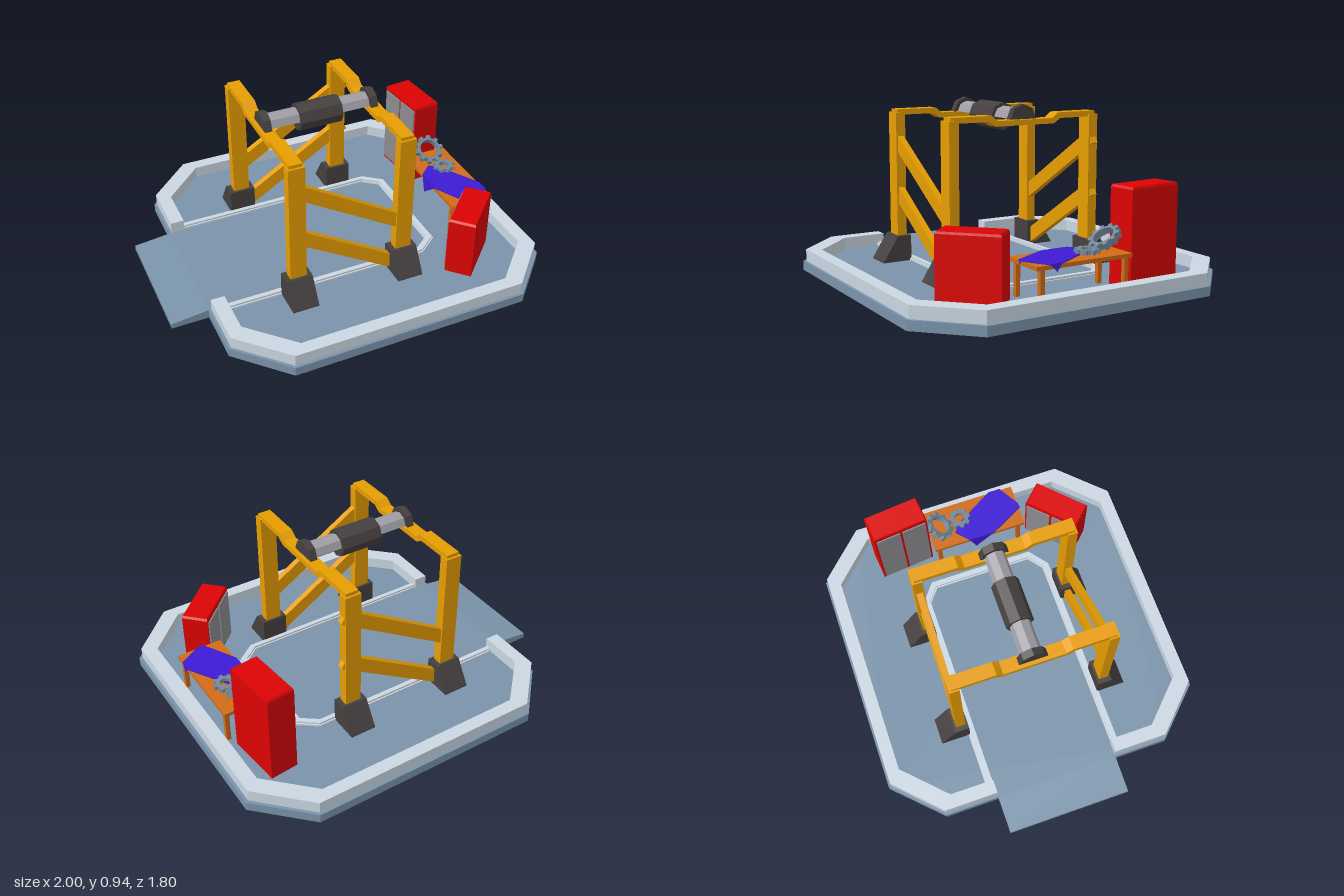
import * as THREE from 'three';

const mat = (name, color, side = THREE.FrontSide) => {
  const m = new THREE.MeshStandardMaterial({ color, side });
  m.name = name;
  return m;
};

export function createModel() {
  const M = {
    floor: mat('slate floor', 0x7a93aa),
    kerb: mat('pale concrete', 0xcbd7e2),
    frame: mat('yellow paint', 0xe79d02),
    dark: mat('dark iron', 0x464040),
    shaft: mat('shaft grey', 0xa19fa6),
    red: mat('red paint', 0xdc0303),
    door: mat('door grey', 0x8c8c90),
    wood: mat('orange wood', 0xd06c16),
    cloth: mat('blue cloth', 0x3d1ad4, THREE.DoubleSide),
    gear: mat('gear steel', 0x72889a),
  };
  const root = new THREE.Group();
  root.name = 'workshopBay';

  const add = (name, geo, material, parent = root, pos = [0, 0, 0]) => {
    const m = new THREE.Mesh(geo, material);
    m.name = name;
    m.position.set(...pos);
    parent.add(m);
    return m;
  };
  const box = (name, w, h, d, material, pos, parent) =>
    add(name, new THREE.BoxGeometry(w, h, d), material, parent, pos);
  const shapeOf = (pts) => new THREE.Shape(pts.map((p) => new THREE.Vector2(...p)));
  // plan outline of [x, z] points, raised from y0 to y1
  const plan = (pts, y0, y1) =>
    new THREE.ExtrudeGeometry(shapeOf(pts.map(([x, z]) => [x, -z])), { depth: y1 - y0, bevelEnabled: false })
      .rotateX(-Math.PI / 2).translate(0, y0, 0);
  // side outline of [z, y] points, swept from x0 to x1
  const sweep = (pts, x0, x1) =>
    new THREE.ExtrudeGeometry(shapeOf(pts.map(([z, y]) => [-z, y])), { depth: x1 - x0, bevelEnabled: false })
      .rotateY(Math.PI / 2).translate(x0, 0, 0);
  // front outline of [x, y] points, swept from z0 to z1
  const slab = (pts, z0, z1) =>
    new THREE.ExtrudeGeometry(shapeOf(pts), { depth: z1 - z0, bevelEnabled: false }).translate(0, 0, z0);
  // adds the z-mirrored half of a path in reverse order
  const mirrorZ = (pts) => [...pts, ...pts.map(([x, z]) => [x, -z]).reverse()];

  // Platform: thin floor with a skirt, open underneath
  const edge = [[-0.8, -0.645], [-0.55, -0.9], [0.74, -0.9], [1, -0.64]];
  const skirtInner = mirrorZ([[-0.794, -0.345], [-0.794, -0.643], [-0.547, -0.894], [0.737, -0.894], [0.994, -0.637]]);
  add('floor', plan(mirrorZ(edge), 0.056, 0.06), M.floor);
  add('skirt', plan([...mirrorZ([[-0.8, -0.345], ...edge]), ...skirtInner.reverse()], 0.01, 0.056), M.floor);

  // Ramp: sloping plate with side and end walls
  add('rampPlate', slab([[-1, 0.034], [-0.8, 0.056], [-0.8, 0.06], [-1, 0.038]], -0.345, 0.345), M.floor);
  const rampSide = [[-1, 0.01], [-0.8, 0.01], [-0.8, 0.056], [-1, 0.034]];
  add('rampSide', slab(rampSide, -0.345, -0.339), M.floor);
  add('rampSide', slab(rampSide, 0.339, 0.345), M.floor);
  box('rampEnd', 0.006, 0.024, 0.678, M.floor, [-0.997, 0.022, 0]);

  // Raised kerb
  const kerbOuter = mirrorZ([[-0.785, -0.345], [-0.785, -0.643], [-0.543, -0.885], [0.733, -0.885], [0.983, -0.633]]);
  const kerbInner = mirrorZ([[-0.71, -0.345], [-0.71, -0.59], [-0.485, -0.815], [0.675, -0.815], [0.905, -0.585]]);
  add('kerb', plan([...kerbOuter, ...kerbInner.reverse()], 0.06, 0.125), M.kerb);

  // Low track around the drive-in lane, with a narrower crown
  const track = (o, top, name) => {
    const outer = mirrorZ([[-0.71, -0.39 + o], [0.425, -0.39 + o], [0.535 - o, -0.305 + o * 0.5]]);
    const inner = mirrorZ([[-0.71, -0.348 - o], [0.41, -0.348 - o], [0.49 + o, -0.285 - o * 0.5]]);
    add(name, plan([...outer, ...inner.reverse()], 0.055, top), M.kerb);
  };
  track(0, 0.07, 'trackBase');
  track(0.008, 0.08, 'trackCrown');

  // Gantry: posts, feet and cranked top beams
  const half = [[0.435, 0.89], [0.2, 0.89], [0.165, 0.862]];
  const under = [[0.175, 0.834], [0.215, 0.86], [0.435, 0.86]];
  const flip = (pts) => pts.map(([z, y]) => [-z, y]).reverse();
  const beam = [...half, ...flip(half), ...flip(under), ...under];
  const foot = [[0.38, 0.054], [0.545, 0.054], [0.545, 0.065], [0.46, 0.2], [0.38, 0.2]];
  for (const x of [-0.34, 0.262]) {
    add('topBeam', sweep(beam, x - 0.036, x + 0.036), M.frame);
    for (const s of [1, -1]) {
      box('post', 0.09, 0.872, 0.054, M.frame, [x, 0.436, s * 0.42]);
      add('foot', sweep(foot.map(([z, y]) => [s * z, y]), x - 0.072, x + 0.072), M.dark);
    }
  }

  // Diagonal braces, falling on the front and rising on the back
  for (const y of [0.545, 0.265]) {
    box('frontBrace', 0.7, 0.076, 0.034, M.frame, [-0.04, y, 0.42]).rotation.z = -0.55;
    box('backBrace', 0.74, 0.076, 0.036, M.frame, [-0.01, y + 0.015, -0.42]).rotation.z = 0.55;
  }

  // Roller: full octagonal drum on a half-round shaft and end blocks
  const arc = (r, n) => Array.from({ length: n }, (_, i) =>
    [r * Math.cos((i * Math.PI) / 4), 0.863 + r * Math.sin((i * Math.PI) / 4)]);
  add('rollerDrum', sweep(arc(0.074, 8), -0.155, 0.08), M.dark);
  add('rollerShaft', sweep(arc(0.056, 5), -0.32, 0.24), M.shaft);
  for (const x of [-0.336, 0.258]) add('rollerEnd', sweep(arc(0.077, 5), x - 0.02, x + 0.02), M.dark);

  // Cabinets with doors on their local -x side
  const cabinet = (name, x, z, w, d, top, turn) => {
    const g = new THREE.Group();
    g.name = name;
    g.position.set(x, 0, z);
    g.rotation.y = turn;
    root.add(g);
    box('cabinetBody', w, top - 0.066, d, M.red, [0, (top + 0.042) / 2, 0], g);
    const lid = new THREE.CylinderGeometry(Math.SQRT1_2 * 0.95, Math.SQRT1_2, 0.012, 4).rotateY(Math.PI / 4).toNonIndexed();
    lid.computeVertexNormals();
    lid.scale(w, 1, d);
    add('cabinetLid', lid, M.red, g, [0, top - 0.006, 0]);
    for (const s of [1, -1]) {
      box('cabinetDoor', 0.009, top - 0.105, d / 2 - 0.018, M.door, [-w / 2 - 0.003, (top + 0.05) / 2, s * (d / 4 - 0.002)], g);
    }
  };
  cabinet('tallCabinet', 0.757, -0.409, 0.153, 0.313, 0.565, 0.1);
  cabinet('lowCabinet', 0.627, 0.502, 0.145, 0.325, 0.4, -0.8);

  // Workbench
  box('benchTop', 0.25, 0.02, 0.548, M.wood, [0.765, 0.245, 0.041]);
  for (const x of [0.66, 0.87]) {
    for (const z of [-0.205, 0.278]) box('benchLeg', 0.024, 0.185, 0.024, M.wood, [x, 0.1445, z]);
  }

  // Cloth over the bench with hanging corners
  add('cloth', plan([[0.637, 0.125], [0.637, -0.025], [0.71, -0.09], [0.755, -0.06], [0.895, 0.175],
    [0.895, 0.245], [0.77, 0.318], [0.74, 0.318]], 0.256, 0.262), M.cloth);
  const flap = (...pts) => {
    const g = new THREE.BufferGeometry();
    g.setAttribute('position', new THREE.Float32BufferAttribute(pts.flat(), 3));
    g.computeVertexNormals();
    add('clothFlap', g, M.cloth);
  };
  flap([0.637, 0.26, 0.125], [0.637, 0.26, -0.025], [0.632, 0.165, 0.012]);
  flap([0.895, 0.26, 0.175], [0.895, 0.26, 0.245], [0.9, 0.222, 0.21]);
  flap([0.74, 0.26, 0.318], [0.77, 0.26, 0.318], [0.752, 0.238, 0.324]);

  // Gears: one flat on the bench, one leaning on the cabinet
  const gear = (name, r, hole, teeth, thick, pos, tilt) => {
    const pts = [];
    for (let i = 0; i < teeth; i++) {
      [[-0.3, 0.8], [-0.17, 1], [0.17, 1], [0.3, 0.8]].forEach(([o, k]) => {
        const a = ((i + o) / teeth) * Math.PI * 2;
        pts.push([Math.cos(a) * r * k, Math.sin(a) * r * k]);
      });
    }
    const s = shapeOf(pts);
    s.holes.push(new THREE.Path().absarc(0, 0, hole, 0, Math.PI * 2, true));
    const geo = new THREE.ExtrudeGeometry(s, { depth: thick, bevelEnabled: false, curveSegments: 8 })
      .rotateX(-Math.PI / 2).translate(0, -thick / 2, 0);
    add(name, geo, M.gear, root, pos).rotation.x = tilt;
  };
  gear('smallGear', 0.063, 0.028, 8, 0.022, [0.785, 0.27, -0.04], 0);
  gear('largeGear', 0.086, 0.055, 10, 0.036, [0.753, 0.313, -0.17], 0.6);

  return root;
}
